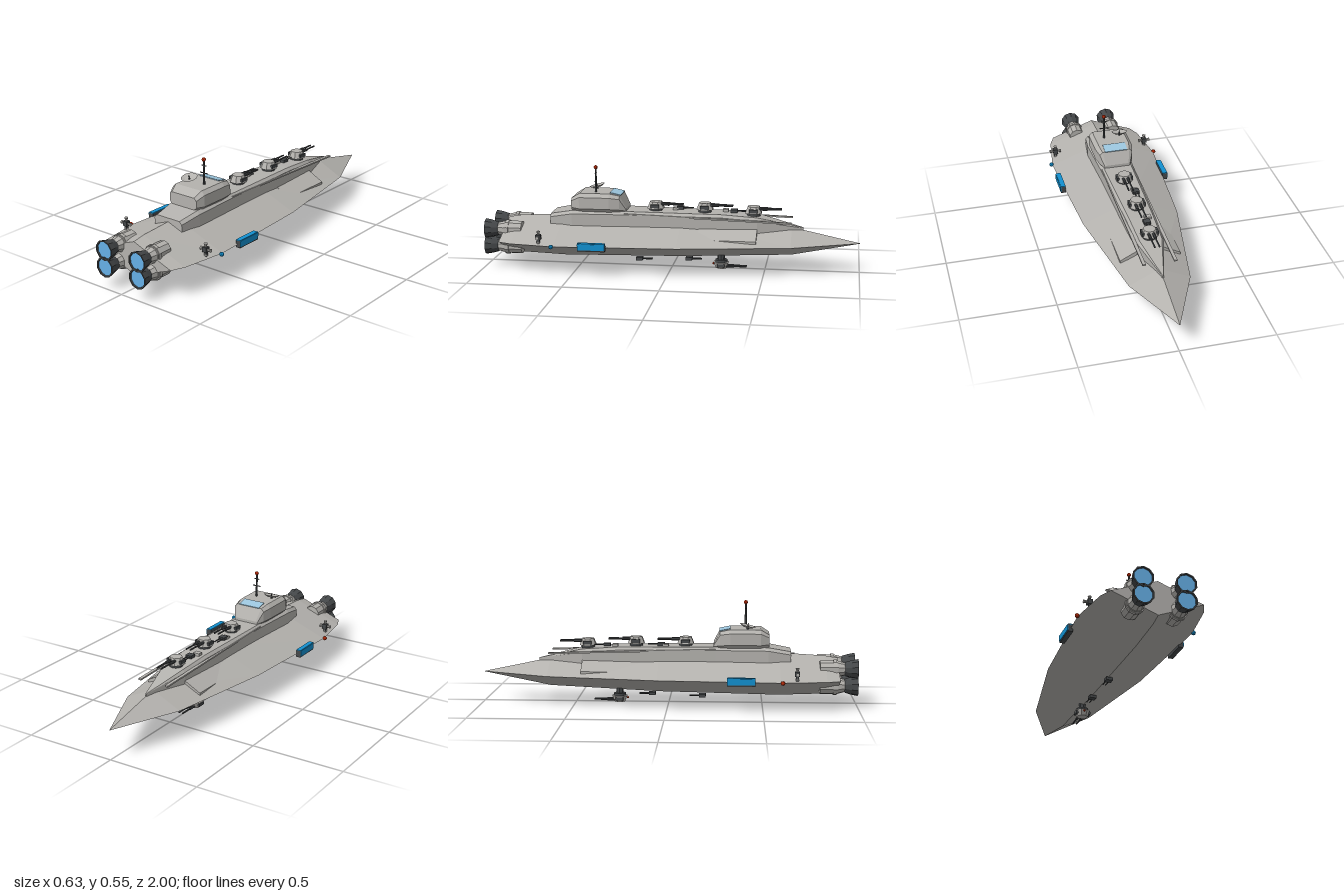
import * as THREE from 'three';

const mat = (name, color) => Object.assign(new THREE.MeshStandardMaterial({ color }), { name });

export function createModel() {
  const hullGrey = mat('hullGrey', 0xb4b2ae);
  const dark = mat('darkMetal', 0x45484a);
  const blue = mat('lightBarBlue', 0x1290d0);
  const glow = mat('engineGlow', 0x66b0e8);
  const glass = mat('windowGlass', 0x9cc6de);
  const red = mat('signalRed', 0xc8300c);
  const ship = new THREE.Group();
  ship.name = 'ship';

  // Faceted mesh helper
  function add(name, geo, material, x = 0, y = 0, z = 0, parent = ship) {
    const g = geo.index ? geo.toNonIndexed() : geo;
    g.computeVertexNormals();
    const m = new THREE.Mesh(g, material);
    m.name = name;
    m.position.set(x, y, z);
    parent.add(m);
    return m;
  }
  const box = (w, h, d) => new THREE.BoxGeometry(w, h, d);
  const cyl = (rt, rb, h, n = 8, open = false) => new THREE.CylinderGeometry(rt, rb, h, n, 1, open);
  function group(name, x, y, z) {
    const g = new THREE.Group();
    g.name = name;
    g.position.set(x, y, z);
    ship.add(g);
    return g;
  }

  // Skin over cross-sections: counter-clockwise [x, y] points, ordered by rising z
  function loft(sections) {
    const pos = [];
    const tri = (...p) => p.forEach(v => pos.push(...v));
    const rings = sections.map(s => s.pts.map(p => [p[0], p[1], s.z]));
    const n = rings[0].length;
    for (let i = 0; i + 1 < rings.length; i++) {
      for (let j = 0; j < n; j++) {
        const k = (j + 1) % n, a = rings[i], b = rings[i + 1];
        tri(a[j], a[k], b[k]);
        tri(a[j], b[k], b[j]);
      }
    }
    const first = rings[0], last = rings[rings.length - 1];
    for (let j = 1; j + 1 < n; j++) {
      tri(first[0], first[j + 1], first[j]);
      tri(last[0], last[j], last[j + 1]);
    }
    const g = new THREE.BufferGeometry();
    g.setAttribute('position', new THREE.Float32BufferAttribute(pos, 3));
    return g;
  }

  // Diamond-section hull: z, half width, top, bottom
  const hull = [
    [-1, 0.001, 0.159, 0.157], [-0.64, 0.16, 0.235, 0.085], [-0.05, 0.26, 0.265, 0.056],
    [0.59, 0.3, 0.272, 0.043], [0.83, 0.265, 0.258, 0.052], [0.9, 0.235, 0.246, 0.066],
  ].map(([z, w, t, b]) => ({ z, pts: [[w, 0.158], [0, t], [-w, 0.158], [0, b]] }));
  add('hull', loft(hull), hullGrey);

  // Raised deck: z, half width, shoulder, top
  const deck = [
    [-0.7, 0.003, 0.232, 0.236], [-0.46, 0.07, 0.276, 0.292], [-0.27, 0.077, 0.29, 0.305],
    [0.25, 0.092, 0.294, 0.31], [0.53, 0.105, 0.294, 0.31], [0.65, 0.09, 0.272, 0.288],
  ].map(([z, w, s, t]) => ({
    z, pts: [[w, 0.2], [w, s], [w * 0.83, t], [-w * 0.83, t], [-w, s], [-w, 0.2]],
  }));
  add('deck', loft(deck), hullGrey);

  // Bridge tower: z, half width, bottom, top, chamfer
  const tower = [
    [0.24, 0.07, 0.303, 0.325, 0.008], [0.275, 0.092, 0.303, 0.392, 0.016],
    [0.33, 0.104, 0.303, 0.404, 0.02], [0.49, 0.105, 0.303, 0.404, 0.02], [0.535, 0.088, 0.312, 0.376, 0.014],
  ].map(([z, w, b, t, c]) => ({
    z, pts: [[w, b + c], [w, t - c], [w - c, t], [c - w, t], [-w, t - c], [-w, b + c], [c - w, b], [w - c, b]],
  }));
  add('bridgeTower', loft(tower), hullGrey);
  const pane = add('bridgeWindow', box(0.125, 0.004, 0.06), glass, 0, 0.4, 0.3);
  pane.rotation.x = -0.21;

  // Mast with crossbars and signal light
  const mx = 0.035, mz = 0.41;
  add('mast', cyl(0.005, 0.006, 0.135, 6), dark, mx, 0.467, mz);
  add('mastCrossbar', box(0.048, 0.004, 0.005), dark, mx, 0.465, mz);
  add('mastCrossbar', box(0.03, 0.004, 0.005), dark, mx, 0.505, mz);
  add('mastLight', new THREE.IcosahedronGeometry(0.011, 1), red, mx, 0.538, mz);

  // Tilted dish
  const dish = group('dish', -0.055, 0.42, 0.42);
  dish.rotation.x = 0.25;
  const bowl = [[0.004, -0.009], [0.025, -0.006], [0.043, 0.005], [0.024, -0.003], [0.001, -0.006]];
  add('dishBowl', new THREE.LatheGeometry(bowl.map(p => new THREE.Vector2(...p)), 16), hullGrey, 0, 0, 0, dish);
  add('dishFeed', cyl(0.002, 0.002, 0.024, 5), dark, 0, 0.004, 0, dish);
  add('dishStand', cyl(0.004, 0.007, 0.022, 6), dark, -0.055, 0.41, 0.42);

  // Twin-barrel turrets, aimed at the bow
  function turret(y, z, scale, flip) {
    const t = group('turret', 0, y, z);
    t.scale.setScalar(scale);
    if (flip) t.rotation.z = Math.PI;
    add('turretBase', cyl(0.036, 0.036, 0.016, 12), dark, 0, 0.002, 0, t);
    const body = cyl(0.033, 0.048, 0.036, 8).rotateY(Math.PI / 8);
    add('turretBody', body, hullGrey, 0, 0.027, 0, t);
    for (const s of [-1, 1]) {
      add('turretCheek', box(0.012, 0.018, 0.045), dark, s * 0.038, 0.024, 0, t);
      add('barrelSleeve', cyl(0.008, 0.008, 0.05, 8).rotateX(Math.PI / 2), dark, s * 0.012, 0.032, -0.05, t);
      add('barrel', cyl(0.0045, 0.0045, 0.12, 8).rotateX(Math.PI / 2), dark, s * 0.012, 0.032, -0.09, t);
    }
  }
  turret(0.298, -0.435, 1, false);
  turret(0.31, -0.175, 1, false);
  turret(0.31, 0.09, 1, false);
  turret(0.041, -0.265, 0.91, true);
  add('lowerTurretStem', cyl(0.02, 0.02, 0.05), dark, 0, 0.055, -0.265);
  add('lowerTurretLight', new THREE.IcosahedronGeometry(0.006, 1), red, 0, 0.022, -0.222);

  // Small defence guns above and below
  for (const [x, y, z] of [[-0.015, 0.312, -0.33], [-0.03, 0.318, -0.04], [0, 0.045, -0.09], [0, 0.036, 0.18]]) {
    const g = group('defenceGun', x, y, z);
    add('gunMount', box(0.036, 0.016, 0.036), dark, 0, 0, 0, g);
    for (const s of [-1, 1]) {
      add('gunBarrel', cyl(0.003, 0.003, 0.06, 6).rotateX(Math.PI / 2), dark, s * 0.008, 0, -0.04, g);
    }
  }
  for (const z of [-0.285, -0.015]) add('deckHatch', box(0.036, 0.014, 0.03), hullGrey, -0.03, 0.312, z);

  for (const s of [-1, 1]) {
    // Rails beside the deck
    const rail = add('deckRail', box(0.017, 0.008, 0.89), hullGrey, s * 0.081, 0.284, -0.195);
    rail.rotation.x = -0.028;

    // Armour plate sinking into the hull side
    const edge = [[0.06, 0.238], [0.06, 0.2], [0.16, 0.172], [0.16, 0.186]];
    const pts = edge.map(([x, y]) => [s * x, y]);
    if (s < 0) pts.reverse();
    add('armourPlate', loft([{ z: -0.46, pts }, { z: -0.15, pts }]), hullGrey);

    // Light bars on the hull edges
    add('lightBarFrame', box(0.026, 0.038, 0.145), dark, s * 0.293, 0.159, 0.387);
    add('lightBarTop', box(0.026, 0.004, 0.145), blue, s * 0.293, 0.18, 0.387);
    add('lightBarSide', box(0.004, 0.032, 0.145), blue, s * 0.307, 0.163, 0.387);

    // Navigation lights
    add('navigationLight', new THREE.IcosahedronGeometry(0.012, 1), s < 0 ? red : blue, s * 0.304, 0.158, 0.6);

    // Manoeuvring thrusters: block with four flared nozzles
    const th = group('thruster', s * 0.265, 0.2, 0.675);
    add('thrusterBlock', box(0.026, 0.026, 0.026), dark, 0, 0, 0, th);
    add('thrusterMount', box(0.014, 0.045, 0.014), dark, 0, -0.015, 0, th);
    for (let i = 0; i < 4; i++) {
      const a = i * Math.PI / 2;
      const nozzle = cyl(0.01, 0.005, 0.02).translate(0, 0.022, 0).rotateZ(a);
      add('thrusterNozzle', nozzle, hullGrey, 0, 0, 0, th);
    }

    // Main engines, stacked in pairs
    for (const y of [0.203, 0.114]) {
      const e = group('engine', s * 0.108, y, 0);
      const part = (name, rBack, rFront, z0, z1, m) =>
        add(name, cyl(rBack, rFront, z1 - z0, 10).rotateX(Math.PI / 2), m, 0, 0, (z0 + z1) / 2, e);
      part('engineHousing', 0.045, 0.045, 0.8, 0.895, hullGrey);
      part('engineCollar', 0.05, 0.05, 0.87, 0.888, hullGrey);
      part('engineNeck', 0.034, 0.043, 0.895, 0.93, hullGrey);
      const bell = [[0.03, 0.925], [0.038, 0.935], [0.047, 0.965], [0.054, 1], [0.047, 1], [0.042, 0.975]];
      const lathe = new THREE.LatheGeometry(bell.map(p => new THREE.Vector2(...p)), 10).rotateX(Math.PI / 2);
      add('engineBell', lathe, dark, 0, 0, 0, e);
      part('engineGlow', 0.0465, 0.044, 0.985, 0.993, glow);
    }
  }
  return ship;
}
